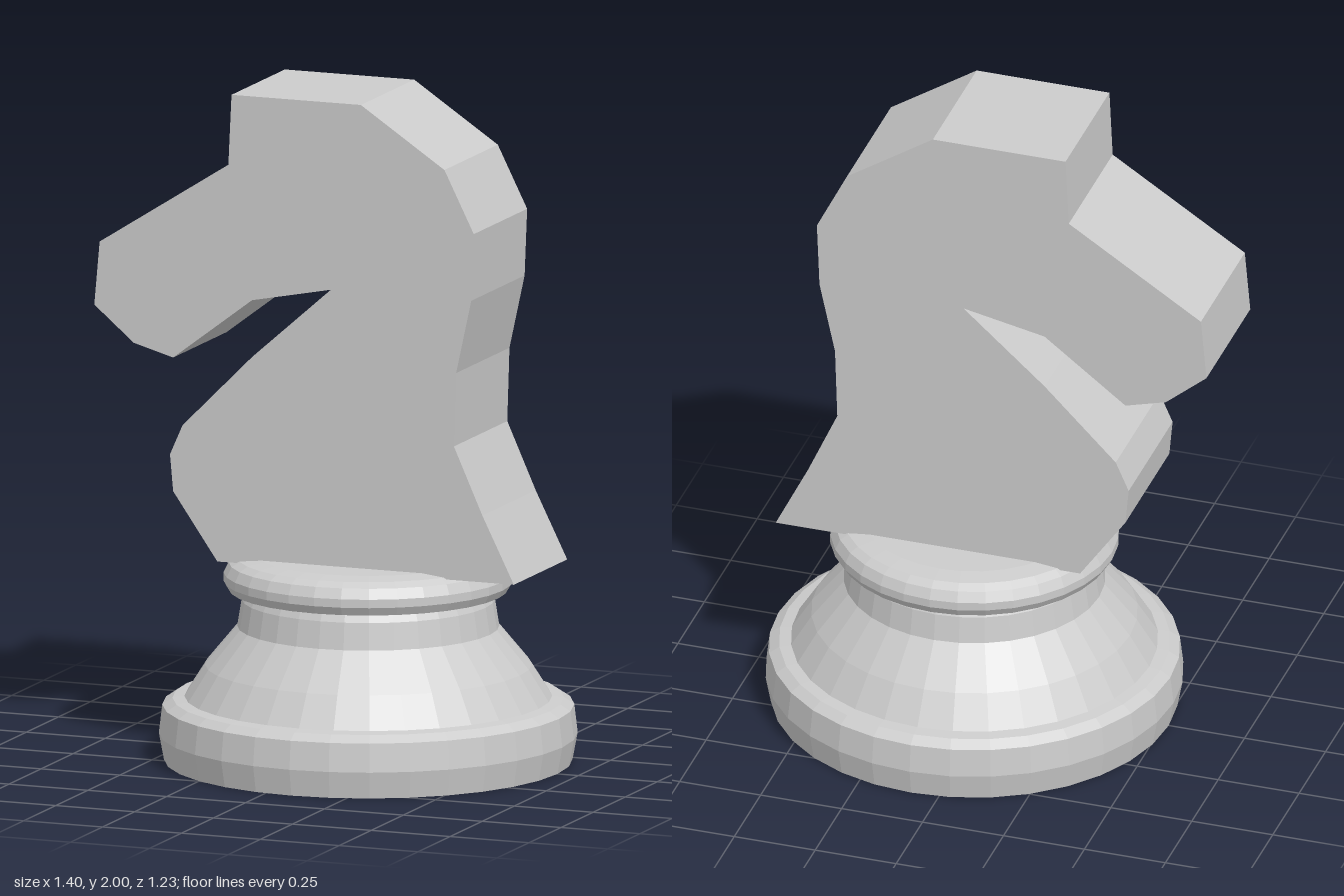
import * as THREE from 'three';

export function createModel() {
  const group = new THREE.Group();
  const material = new THREE.MeshStandardMaterial({ color: 0xcccccc, flatShading: true });
  const points = (list) => list.map(([x, y]) => new THREE.Vector2(x, y));

  // Turned base: foot, sloping body, neck and collar, with a closed bottom and top
  const baseProfile = points([
    [0, 0], [0.6, 0], [0.615, 0.08], [0.605, 0.165], [0.575, 0.185], [0.54, 0.19],
    [0.48, 0.285], [0.385, 0.4], [0.372, 0.48], [0.36, 0.505], [0.41, 0.51], [0.425, 0.535],
    [0.425, 0.56], [0.41, 0.59], [0.385, 0.605], [0.33, 0.613], [0, 0.613],
  ]);
  const base = new THREE.Mesh(new THREE.LatheGeometry(baseProfile, 32), material);
  base.name = 'base';
  base.position.x = 0.084;
  group.add(base);

  // Flat horse head, cut from a thick slab
  const outline = new THREE.Shape(points([
    [0.63, 0.6], [0.53, 0.8], [0.44, 1.0], [0.447, 1.22], [0.495, 1.44], [0.503, 1.64],
    [0.41, 1.825], [0.145, 2.0], [-0.265, 2.0], [-0.275, 1.79], [-0.683, 1.53],
    [-0.7, 1.34], [-0.575, 1.235], [-0.45, 1.2], [-0.2, 1.39], [0.05, 1.44],
    [-0.2, 1.22], [-0.42, 1.0], [-0.46, 0.91], [-0.45, 0.8], [-0.31, 0.6],
  ]));
  const thickness = 0.416;
  const headGeometry = new THREE.ExtrudeGeometry(outline, { depth: thickness, bevelEnabled: false });
  headGeometry.translate(0, 0, -thickness / 2);
  const head = new THREE.Mesh(headGeometry, material);
  head.name = 'horseHead';
  group.add(head);

  return group;
}
